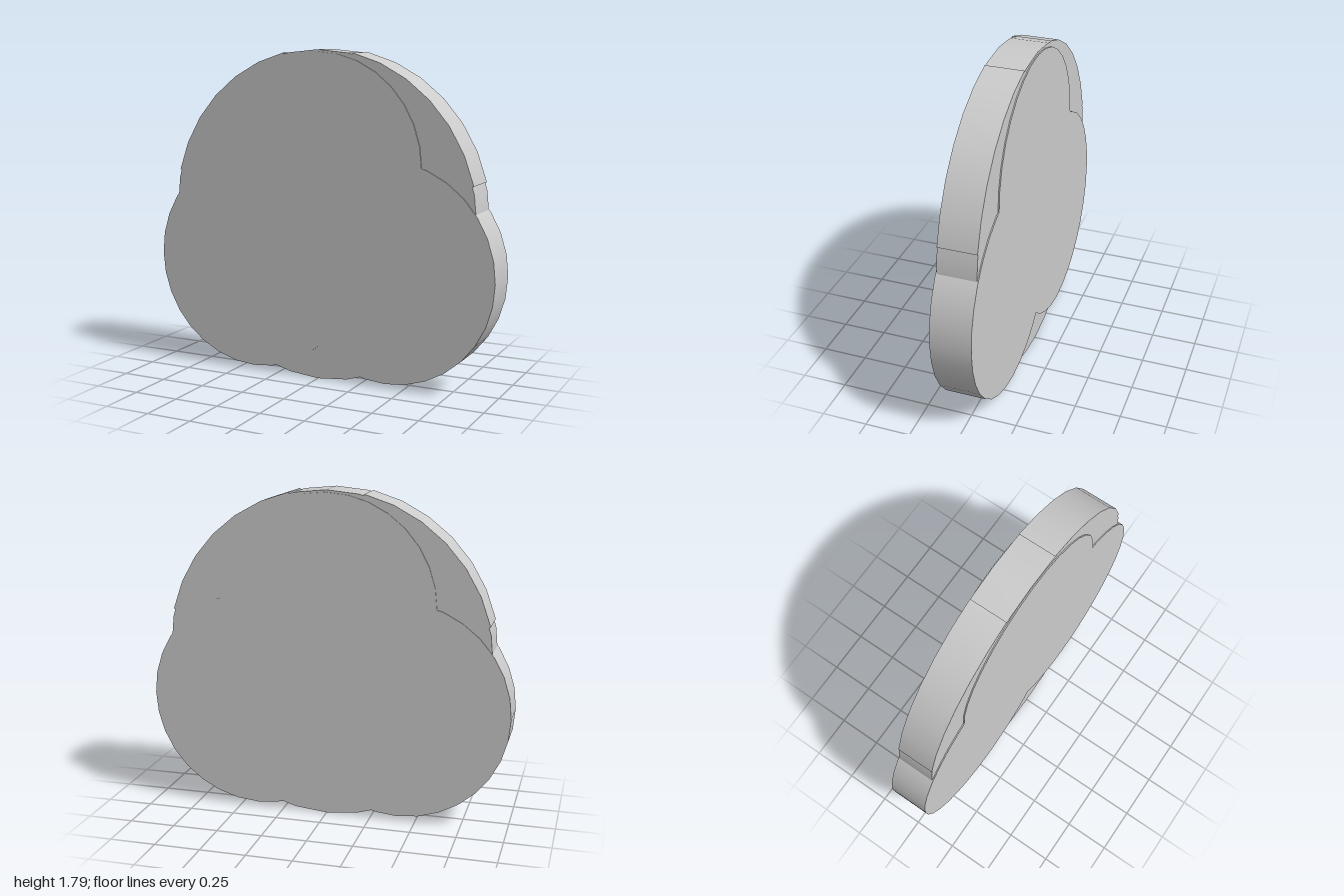
import * as THREE from 'three';

const material = new THREE.MeshStandardMaterial({ color: 0xcccccc, side: THREE.DoubleSide });
const deg = Math.PI / 180;

// Flat round plate standing upright, its axis along z
function plate(name, x, y, radius, depth, segments = 32, start = 0, sweep = Math.PI * 2) {
  const geometry = new THREE.CylinderGeometry(radius, radius, depth, segments, 1, false, start, sweep);
  geometry.rotateX(Math.PI / 2);
  const mesh = new THREE.Mesh(geometry, material);
  mesh.name = name;
  mesh.position.set(x, y, 0);
  return mesh;
}

export function createModel() {
  const group = new THREE.Group();
  group.name = 'trefoilPlate';

  // Large core disc, slightly thinner than the lobes
  const coreY = 0.896;
  group.add(plate('coreDisc', 0, coreY, 0.896, 0.208));

  // Raised rim on both upper shoulders of the core
  const inner = 13 * deg, sweep = 63 * deg;
  group.add(plate('leftShoulderRim', 0, coreY, 0.902, 0.208, 6, Math.PI - inner - sweep, sweep));
  group.add(plate('rightShoulderRim', 0, coreY, 0.902, 0.208, 6, Math.PI + inner, sweep));

  // Three overlapping lobes that stand just proud of the core
  group.add(plate('topLobe', 0, 1.185, 0.595, 0.22));
  group.add(plate('leftLobe', 0.4, 0.625, 0.6, 0.22));
  group.add(plate('rightLobe', -0.4, 0.625, 0.6, 0.22));

  return group;
}
